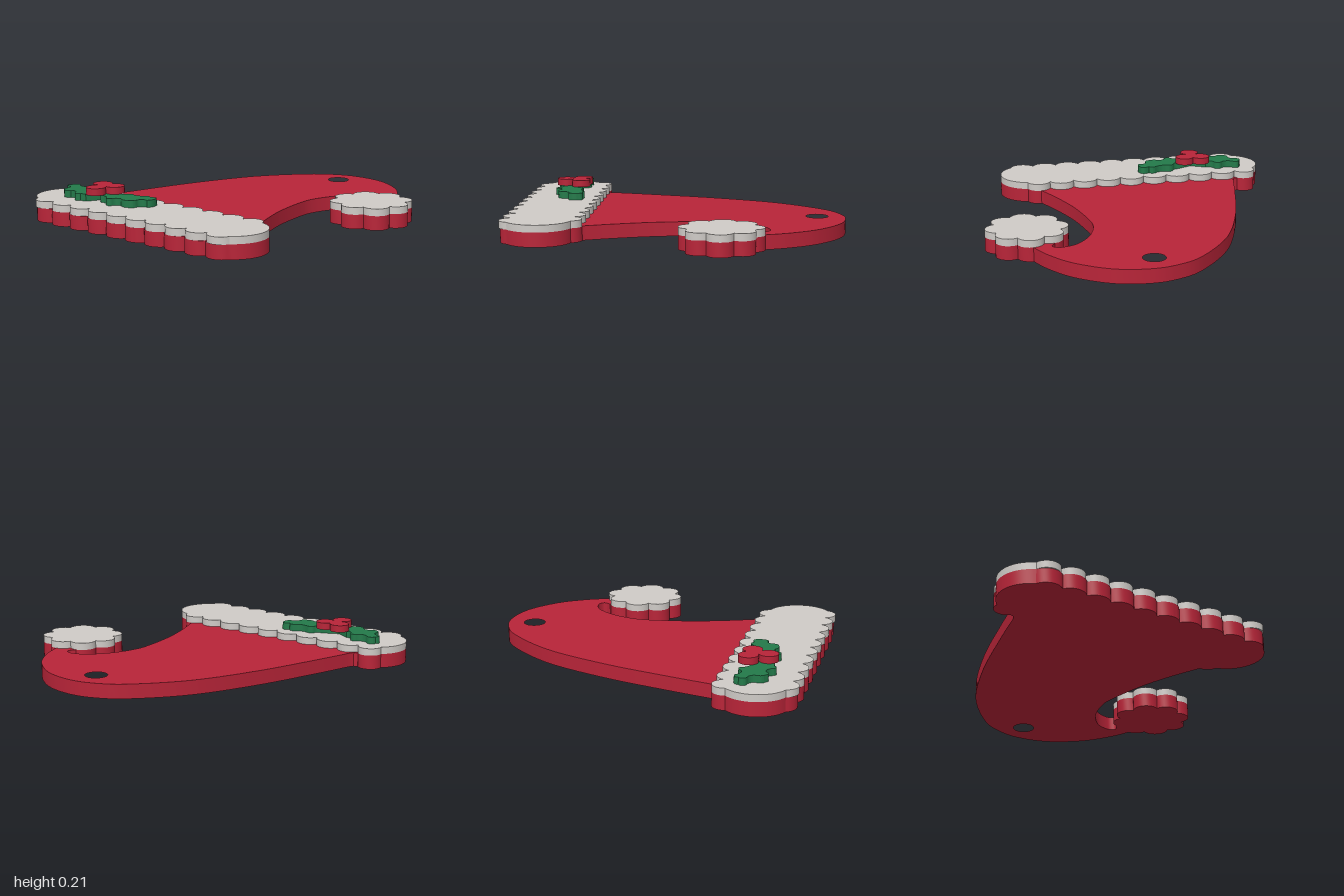
import * as THREE from 'three';
import { toCreasedNormals } from 'three/addons/utils/BufferGeometryUtils.js';

const mat = (name, color) => new THREE.MeshStandardMaterial({ name, color });
const V = (x, z) => new THREE.Vector2(x, -z); // plan coordinates: x right, z forward

// Layer heights, bottom to top
const STEP = 0.0425;
const BASE = 2 * STEP;

// Outline made of arcs: each [x, z, s] starts an edge bulging outward by s (clockwise in plan)
function arcOutline(points) {
  const out = [];
  points.forEach(([x, z, s], i) => {
    const [x2, z2] = points[(i + 1) % points.length];
    const h = Math.hypot(x2 - x, z2 - z) / 2;
    const dx = (x2 - x) / (2 * h), dz = (z2 - z) / (2 * h);
    out.push(V(x, z));
    if (!s) return;
    const r = (h * h + s * s) / (2 * s), a = 2 * Math.atan(s / h);
    const n = h > 0.1 ? 24 : 12;
    for (let k = 1; k < n; k++) {
      const t = a * (2 * k / n - 1);
      const along = h + r * Math.sin(t), off = r * Math.cos(t) - r + s;
      out.push(V(x + dx * along + dz * off, z + dz * along - dx * off));
    }
  });
  return new THREE.Shape(out);
}

// Flat plate standing between heights y and y + depth
function plate(name, shape, y, depth, material) {
  const geo = new THREE.ExtrudeGeometry(shape, { depth, bevelEnabled: false, curveSegments: 32 });
  geo.rotateX(-Math.PI / 2);
  const mesh = new THREE.Mesh(toCreasedNormals(geo, 0.5), material);
  mesh.position.y = y;
  mesh.name = name;
  return mesh;
}

// Scalloped brim; notchZ is the depth of the notches along the front edge
function brimShape(notchZ) {
  const p = [[-0.91, 0.615, 0.07]];
  for (let i = 0; i < 9; i++) p.push([-0.775 + i * 0.1528, 0.575, 0.054]);
  p.push([0.59, 0.578, 0.116]);
  for (let i = 0; i < 10; i++) p.push([0.66 - i * 0.1512, i ? notchZ : 0.935, 0.998 - notchZ]);
  p.push([-0.85, 0.935, 0.086]);
  return arcOutline(p);
}

// Eight-lobed pompom
function pompomShape() {
  const p = [];
  for (let i = 0; i < 8; i++) {
    const a = (i + 0.5) * Math.PI / 4;
    p.push([0.71 + 0.2 * Math.cos(a), -0.29 + 0.2 * Math.sin(a), 0.06]);
  }
  return arcOutline(p);
}

// Curved cone of the hat with hanging hole
function hatShape() {
  const outer = new THREE.SplineCurve([
    [-0.755, 0.52], [-0.69, 0.24], [-0.58, -0.17], [-0.42, -0.57], [-0.2, -0.86], [-0.03, -0.97],
    [0.135, -1], [0.33, -0.96], [0.52, -0.83], [0.64, -0.67], [0.705, -0.53],
  ].map(([x, z]) => V(x, z)));
  const inner = new THREE.SplineCurve([
    [0.575, -0.49], [0.597, -0.525], [0.585, -0.55], [0.54, -0.56], [0.45, -0.52], [0.36, -0.4],
    [0.31, -0.24], [0.315, -0.1], [0.36, 0.13], [0.43, 0.34], [0.505, 0.515],
  ].map(([x, z]) => V(x, z)));
  const shape = new THREE.Shape([
    V(-0.77, 0.65), V(-0.79, 0.548), V(-0.765, 0.54),
    ...outer.getPoints(70), V(0.7, -0.4), V(0.6, -0.44),
    ...inner.getPoints(70), V(0.53, 0.545), V(0.53, 0.65),
  ]);
  shape.holes.push(new THREE.Path().absarc(0.071, 0.832, 0.066, 0, Math.PI * 2, true));
  return shape;
}

export function createModel() {
  const red = mat('red', 0xb82438);
  const grey = mat('pale grey', 0xcfcbc7);
  const green = mat('green', 0x237a4a);
  const model = new THREE.Group();
  model.name = 'hatOrnament';

  // Red backing
  model.add(
    plate('hatCone', hatShape(), 0, BASE, red),
    plate('brimBase', brimShape(0.958), 0, BASE, red),
    plate('pompomBase', pompomShape(), 0, BASE, red),
  );

  // Pale trim
  model.add(
    plate('brimTrim', brimShape(0.942), BASE, STEP, grey),
    plate('pompomTrim', pompomShape(), BASE, STEP, grey),
  );

  // Holly leaves with scooped edges
  const leftLeaf = [
    [-0.835, 0.67, 0.02], [-0.785, 0.65, -0.02], [-0.705, 0.645, 0.015], [-0.66, 0.665, -0.01],
    [-0.61, 0.69, 0], [-0.52, 0.74, 0], [-0.56, 0.82, 0], [-0.6, 0.825, 0.015], [-0.645, 0.825, -0.015],
    [-0.71, 0.8, 0.015], [-0.76, 0.805, 0.01], [-0.78, 0.76, -0.015], [-0.825, 0.715, 0.015],
  ];
  const rightLeaf = [
    [-0.52, 0.74, 0], [-0.42, 0.69, -0.008], [-0.385, 0.665, 0.012], [-0.34, 0.645, -0.012],
    [-0.26, 0.63, 0.012], [-0.215, 0.635, 0], [-0.195, 0.625, 0.012], [-0.157, 0.645, 0.01],
    [-0.165, 0.71, -0.015], [-0.215, 0.74, 0.012], [-0.245, 0.785, 0.01], [-0.31, 0.775, -0.012],
    [-0.355, 0.81, 0.015], [-0.4, 0.805, -0.012], [-0.47, 0.785, 0],
  ];
  model.add(
    plate('rightHollyLeaf', arcOutline(leftLeaf), BASE + STEP, STEP, green),
    plate('leftHollyLeaf', arcOutline(rightLeaf), BASE + STEP, STEP, green),
  );

  // Berries, with a small filler between them
  const berries = new THREE.Group();
  berries.name = 'berries';
  for (const [x, z, r] of [[-0.569, 0.67, 0.058], [-0.463, 0.674, 0.058], [-0.518, 0.776, 0.058], [-0.517, 0.707, 0.025]]) {
    const berry = new THREE.Mesh(new THREE.CylinderGeometry(r, r, STEP, 32), red);
    berry.name = r > 0.05 ? 'berry' : 'berryFiller';
    berry.position.set(x, BASE + 1.5 * STEP + STEP, z);
    berries.add(berry);
  }
  model.add(berries);
  return model;
}
